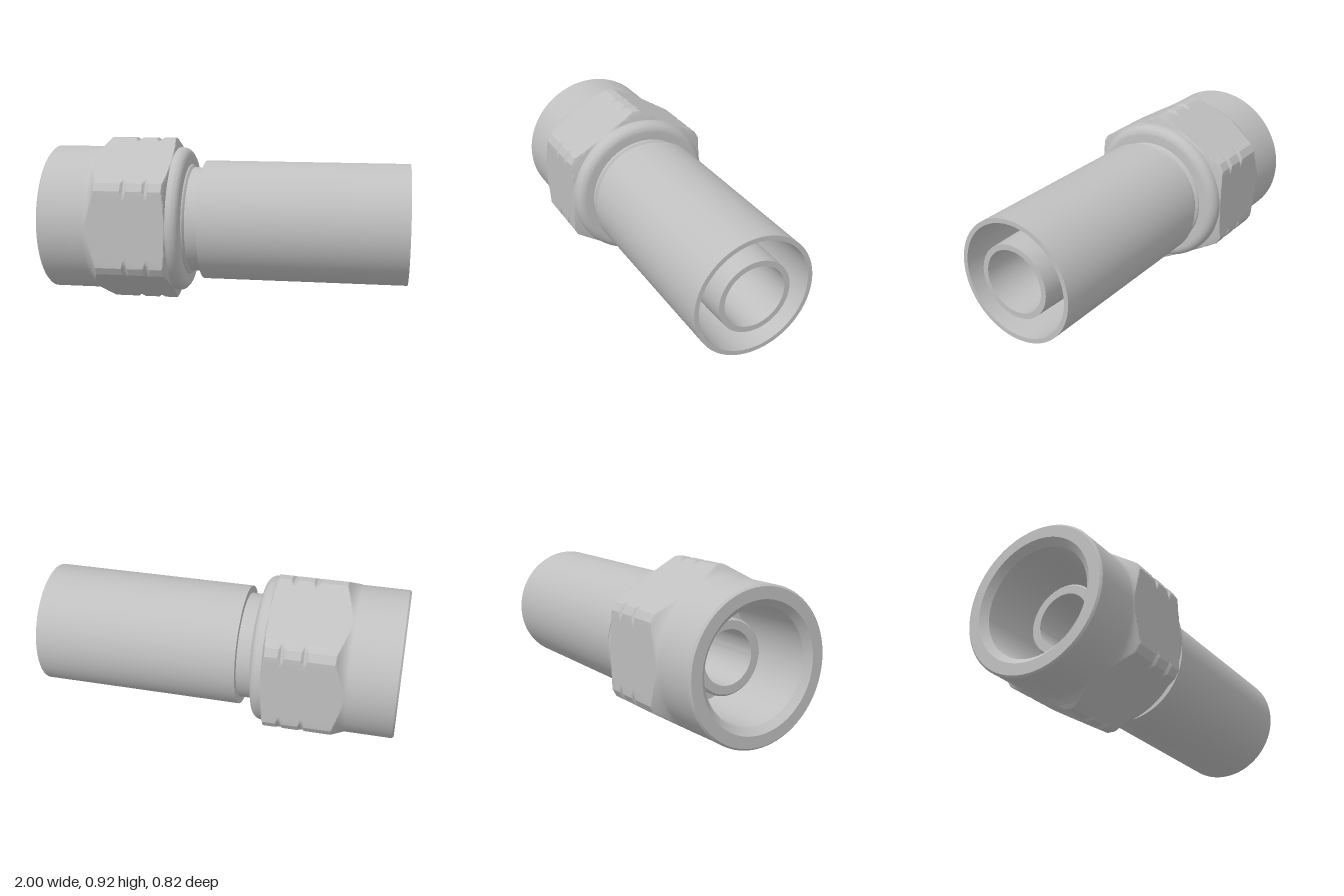
import * as THREE from 'three';
import { toCreasedNormals } from 'three/addons/utils/BufferGeometryUtils.js';

const AXIS_Y = 0.46;      // height of the common axis
const APOTHEM = 0.41;     // hexagon flats
const CORNER = 0.46;      // trimmed hexagon corners
const CREASE = 0.35;

// Solid of revolution about x from a closed loop of [x, r]
function turned(loop) {
  const points = [...loop, loop[0]].map(([x, r]) => new THREE.Vector2(r, x));
  const geometry = new THREE.LatheGeometry(points, 96);
  geometry.rotateZ(-Math.PI / 2);
  return toCreasedNormals(geometry, CREASE);
}

// Angles round the hexagon, hitting every edge exactly
function hexAngles() {
  const edge = Math.atan2((CORNER - APOTHEM * Math.cos(Math.PI / 6)) * 2, APOTHEM);
  const angles = [];
  for (let side = 0; side < 6; side++) {
    const mid = side * Math.PI / 3;
    for (let i = 0; i < 24; i++) angles.push(mid - edge + 2 * edge * i / 24);
    for (let i = 0; i < 4; i++) angles.push(mid + edge + (Math.PI / 3 - 2 * edge) * i / 4);
  }
  return angles;
}

function hexRadius(angle) {
  const third = Math.PI / 3;
  const a = Math.abs(angle - Math.round(angle / third) * third);
  return Math.min(APOTHEM / Math.cos(a), CORNER / Math.cos(third / 2 - a));
}

// Closed turned profile, cut down by the hexagonal prism
function hexTurned(loop) {
  const angles = hexAngles();
  const n = angles.length;
  const positions = [];
  const index = [];
  for (const [x, radius] of loop) {
    for (const a of angles) {
      const r = Math.min(radius, hexRadius(a));
      positions.push(x, r * Math.sin(a), r * Math.cos(a));
    }
  }
  for (let i = 0; i < loop.length; i++) {
    const next = (i + 1) % loop.length;
    for (let j = 0; j < n; j++) {
      const k = (j + 1) % n;
      const a = i * n + j, b = next * n + j, c = next * n + k, d = i * n + k;
      index.push(a, b, c, a, c, d);
    }
  }
  const geometry = new THREE.BufferGeometry();
  geometry.setAttribute('position', new THREE.Float32BufferAttribute(positions, 3));
  geometry.setIndex(index);
  return toCreasedNormals(geometry, CREASE);
}

function nutProfile() {
  const p = [[-1, 0.335], [-1, 0.397], [-0.99, 0.407]];
  // Concave sweep from the round skirt up to the hexagon corners
  for (let i = 0; i <= 20; i++) {
    const t = i / 20;
    p.push([-0.74 + 0.07 * t, 0.407 + 0.056 * t * t]);
  }
  // Two rounded marking grooves that only nick the corners
  for (const x of [-0.51, -0.39]) {
    for (let i = 0; i <= 8; i++) {
      const t = i / 4 - 1;
      p.push([x + 0.017 * t, 0.446 + 0.018 * t * t]);
    }
  }
  // End chamfer, then the rounded collar
  p.push([-0.302, 0.463], [-0.297, 0.45], [-0.291, 0.43], [-0.285, 0.407]);
  for (let i = 0; i <= 10; i++) {
    const a = i / 10 * Math.PI / 2;
    p.push([-0.27 + 0.05 * Math.sin(a), 0.357 + 0.05 * Math.cos(a)]);
  }
  // Threaded-end bore
  p.push([-0.22, 0.3], [-0.965, 0.3]);
  return p;
}

export function createModel() {
  const model = new THREE.Group();
  model.name = 'hoseFitting';
  const steel = new THREE.MeshStandardMaterial({ color: 0xc0c0c0 });
  steel.name = 'plain steel';

  const add = (name, geometry) => {
    const mesh = new THREE.Mesh(geometry, steel);
    mesh.name = name;
    mesh.position.y = AXIS_Y;
    model.add(mesh);
  };

  add('swivelNut', hexTurned(nutProfile()));

  // Crimp sleeve with a slightly flared bore
  add('crimpSleeve', turned([
    [-0.13, 0.27], [-0.13, 0.335], [1, 0.335], [1, 0.31], [-0.08, 0.28], [-0.08, 0.27],
  ]));

  // Hollow stem: nose inside the nut, neck, and hose tail
  add('stem', turned([
    [-0.75, 0.145], [-0.75, 0.19], [-0.74, 0.2], [-0.5, 0.2], [-0.5, 0.298],
    [-0.225, 0.298], [-0.225, 0.315], [-0.212, 0.308], [-0.203, 0.295],
    [-0.08, 0.295], [-0.08, 0.22], [1, 0.2], [1, 0.17], [-0.08, 0.145],
  ]));

  return model;
}
